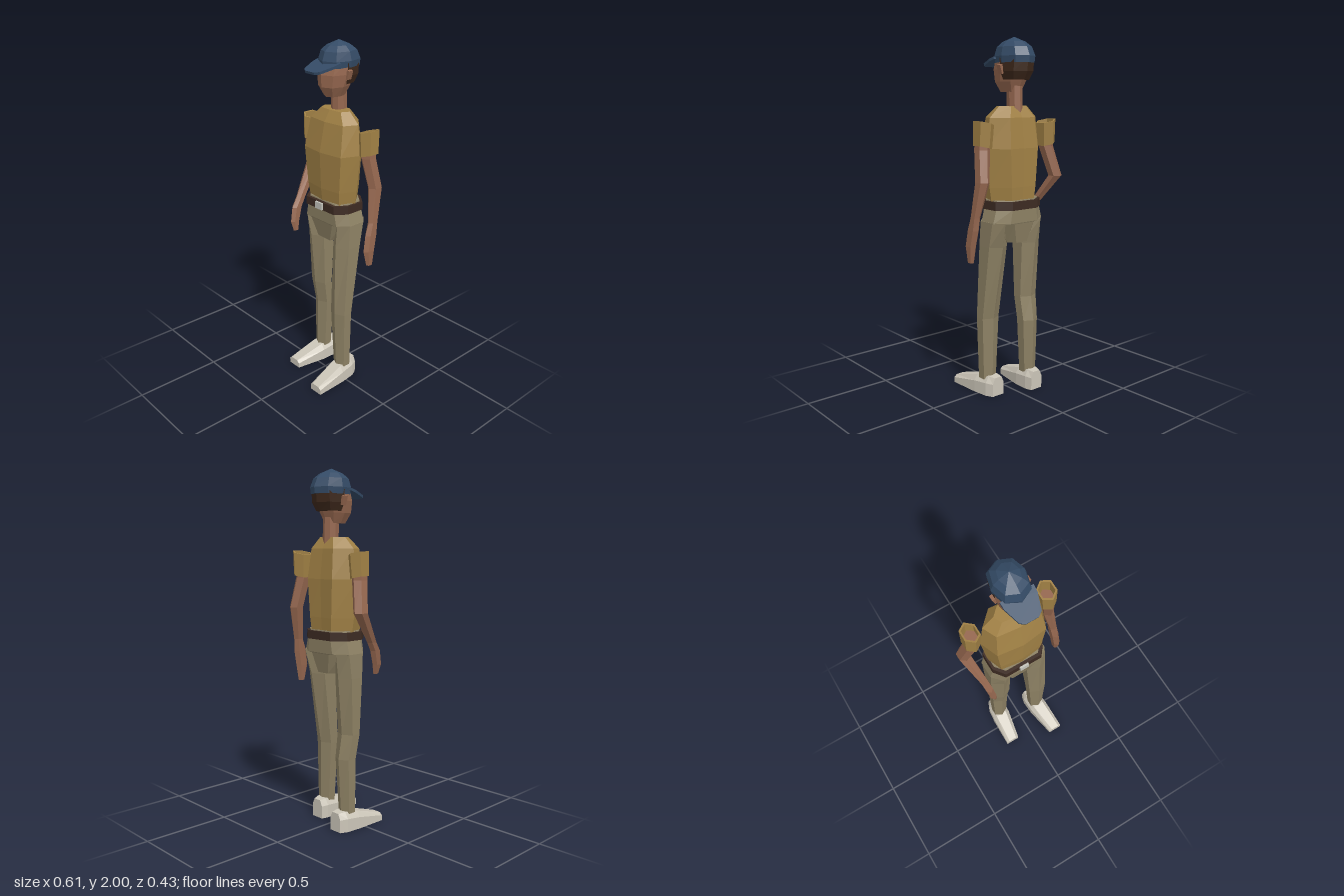
import * as THREE from 'three';

const mat = (name, color) => {
  const m = new THREE.MeshStandardMaterial({ color });
  m.name = name;
  return m;
};

// Unit cross-sections as [x, z], running from the front towards +x
const OCT = [[0, 1], [0.75, 0.72], [1, 0], [0.75, -0.72], [0, -1], [-0.75, -0.72], [-1, 0], [-0.75, 0.72]];
const HEX = [[0, 1], [1, 0.5], [1, -0.5], [0, -1], [-1, -0.5], [-1, 0.5]];
const TORSO = [[0, 1], [0.78, 0.83], [1, -0.1], [0.52, -1], [0, -0.95], [-0.52, -1], [-1, -0.1], [-0.78, 0.83]];
const HIPS = [[-0.7, 1], [0.7, 1], [1, 0.45], [1, -0.5], [0.55, -1], [-0.55, -1], [-1, -0.5], [-1, 0.45]];
const SHOE = [[-1, 1], [1, 1], [1, -0.35], [0.6, -1], [-0.6, -1], [-1, -0.35]];
const BACK = [[1, 0.2], [0.8, -0.7], [0, -1], [-0.8, -0.7], [-1, 0.2]];

// Faceted loft through sections [y, centreX, centreZ, radiusX, radiusZ], low to high
function loft(outline, sections, capped = true) {
  const pos = [];
  const n = outline.length;
  const rings = sections.map(([y, cx, cz, rx, rz]) => outline.map(([x, z]) => [cx + x * rx, y, cz + z * rz]));
  const tri = (...pts) => pts.forEach((p) => pos.push(...p));
  for (let s = 0; s < rings.length - 1; s++) {
    for (let i = 0; i < n; i++) {
      const j = (i + 1) % n, a = rings[s], b = rings[s + 1];
      tri(a[i], a[j], b[j]);
      tri(a[i], b[j], b[i]);
    }
  }
  if (capped) {
    const low = rings[0], high = rings[rings.length - 1];
    for (let i = 1; i < n - 1; i++) {
      tri(low[0], low[i + 1], low[i]);
      tri(high[0], high[i], high[i + 1]);
    }
  }
  const g = new THREE.BufferGeometry();
  g.setAttribute('position', new THREE.Float32BufferAttribute(pos, 3));
  g.computeVertexNormals();
  return g;
}

export function createModel() {
  const model = new THREE.Group();
  model.name = 'standingMan';

  const shirt = mat('ochreShirt', 0xa18145);
  const skin = mat('brownSkin', 0x95674f);
  const trousers = mat('khakiTrousers', 0x8d8164);
  const shoes = mat('paleShoes', 0xcbc5b8);
  const navy = mat('navyCap', 0x344b66);
  const leather = mat('darkBelt', 0x3c2a22);
  const metal = mat('silverBuckle', 0xc4c4bc);
  const hairColor = mat('darkHair', 0x3d281b);

  const add = (name, geometry, material) => {
    const mesh = new THREE.Mesh(geometry, material);
    mesh.name = name;
    model.add(mesh);
    return mesh;
  };

  // Torso, neck and head
  add('shirtBody', loft(TORSO, [
    [1.1, 0, -0.075, 0.15, 0.095],
    [1.2, 0, -0.072, 0.165, 0.105],
    [1.41, 0, -0.07, 0.188, 0.112],
    [1.575, 0, -0.078, 0.165, 0.085],
    [1.635, 0, -0.08, 0.1, 0.05],
  ]), shirt);
  add('neck', loft(OCT, [[1.6, 0, -0.1, 0.038, 0.046], [1.75, 0, -0.095, 0.038, 0.046]]), skin);
  add('head', loft(OCT, [
    [1.71, 0, -0.065, 0.045, 0.062],
    [1.765, 0, -0.062, 0.073, 0.09],
    [1.83, 0, -0.074, 0.086, 0.106],
    [1.9, 0, -0.085, 0.085, 0.095],
  ]), skin);
  add('hair', loft(BACK, [
    [1.775, 0, -0.1, 0.07, 0.075],
    [1.82, 0, -0.1, 0.088, 0.1],
    [1.89, 0, -0.1, 0.09, 0.106],
  ]), hairColor);

  // Cap crown and curved brim
  add('capCrown', loft(OCT, [
    [1.865, 0, -0.098, 0.09, 0.116],
    [1.9, 0, -0.098, 0.095, 0.12],
    [1.948, 0, -0.095, 0.083, 0.1],
    [1.975, 0, -0.093, 0.055, 0.065],
    [2.0, 0, -0.093, 0.002, 0.002],
  ]), navy);
  const brimShape = new THREE.Shape([
    [-0.09, -0.03], [0.09, -0.03], [0.088, 0.01], [0.06, 0.095], [0.035, 0.113],
    [-0.035, 0.113], [-0.06, 0.095], [-0.088, 0.01],
  ].map(([x, z]) => new THREE.Vector2(x, z)));
  const brim = new THREE.ExtrudeGeometry(brimShape, { depth: 0.014, bevelEnabled: false });
  brim.rotateX(Math.PI / 2);
  brim.rotateX(0.27);
  brim.translate(0, 1.89, 0.002);
  add('capBrim', brim, navy);

  // Hips, belt and buckle
  add('hips', loft(HIPS, [
    [0.89, 0, -0.075, 0.07, 0.085],
    [1.0, 0, -0.075, 0.125, 0.105],
    [1.005, 0, -0.075, 0.178, 0.107],
    [1.08, 0, -0.075, 0.157, 0.108],
    [1.13, 0, -0.075, 0.147, 0.098],
  ]), trousers);
  add('belt', loft(HIPS, [[1.078, 0, -0.073, 0.164, 0.117], [1.124, 0, -0.073, 0.162, 0.116]]), leather);
  const buckle = add('beltBuckle', new THREE.BoxGeometry(0.054, 0.04, 0.014), metal);
  buckle.position.set(0, 1.101, 0.048);

  // Legs: the left one stands slightly ahead
  add('leftTrouserLeg', loft(HEX, [
    [0.09, 0.13, -0.015, 0.044, 0.046],
    [0.45, 0.124, -0.012, 0.058, 0.053],
    [0.87, 0.118, -0.055, 0.064, 0.085],
    [1.01, 0.13, -0.073, 0.05, 0.102],
  ]), trousers);
  add('rightTrouserLeg', loft(HEX, [
    [0.09, -0.115, -0.086, 0.042, 0.046],
    [0.41, -0.108, -0.09, 0.053, 0.055],
    [0.55, -0.11, -0.068, 0.06, 0.053],
    [0.87, -0.112, -0.07, 0.065, 0.08],
    [1.01, -0.125, -0.075, 0.05, 0.104],
  ]), trousers);

  // Shoes: lofted heel to toe, with heights given as negative z before turning
  for (const [side, sections] of [
    ['left', [[-0.1, 0.12, 0.04, 0.108], [-0.06, 0.125, 0.055, 0.112], [0.03, 0.133, 0.058, 0.1], [0.216, 0.154, 0.043, 0.045]]],
    ['right', [[-0.172, -0.11, 0.04, 0.108], [-0.13, -0.114, 0.055, 0.112], [-0.045, -0.12, 0.058, 0.1], [0.136, -0.138, 0.043, 0.045]]],
  ]) {
    const g = loft(SHOE, sections.map(([z, x, w, h]) => [z, x, -h / 2, w, h / 2]));
    add(side + 'Shoe', g.rotateX(Math.PI / 2), shoes);
  }

  // Arms from fingertips to the stump inside the sleeve
  add('leftArm', loft(HEX, [
    [0.8, 0.287, -0.07, 0.012, 0.022],
    [0.89, 0.285, -0.068, 0.019, 0.042],
    [0.98, 0.281, -0.085, 0.02, 0.044],
    [1.05, 0.277, -0.1, 0.02, 0.032],
    [1.24, 0.254, -0.132, 0.031, 0.045],
    [1.41, 0.23, -0.1, 0.035, 0.045],
    [1.49, 0.225, -0.1, 0.035, 0.045],
  ]), skin);
  add('rightArm', loft(HEX, [
    [0.885, -0.202, 0.052, 0.01, 0.018],
    [0.94, -0.212, 0.05, 0.018, 0.031],
    [1.02, -0.222, 0.025, 0.02, 0.036],
    [1.07, -0.23, -0.01, 0.02, 0.032],
    [1.24, -0.272, -0.14, 0.032, 0.043],
    [1.41, -0.23, -0.105, 0.035, 0.045],
    [1.49, -0.225, -0.105, 0.035, 0.045],
  ]), skin);

  // Hollow sleeves, outer wall up and inner wall back down
  for (const s of [1, -1]) {
    const sleeve = loft(HEX, [
      [1.42, s * 0.23, -0.105, 0.041, 0.058],
      [1.55, s * 0.225, -0.108, 0.045, 0.064],
      [1.55, s * 0.225, -0.108, 0.036, 0.053],
      [1.42, s * 0.23, -0.105, 0.034, 0.045],
    ], false);
    // Slope the rim down from the outer edge to the torso
    const p = sleeve.attributes.position;
    for (let i = 0; i < p.count; i++) p.setY(i, p.getY(i) + (s * p.getX(i) - 0.225) * 0.25);
    sleeve.computeVertexNormals();
    add(s > 0 ? 'leftSleeve' : 'rightSleeve', sleeve, shirt);
  }

  // Ears
  for (const s of [1, -1]) {
    const ear = add(s > 0 ? 'leftEar' : 'rightEar', new THREE.BoxGeometry(0.016, 0.05, 0.03), skin);
    ear.position.set(s * 0.09, 1.83, -0.085);
    ear.rotation.z = -s * 0.3;
  }
  return model;
}
